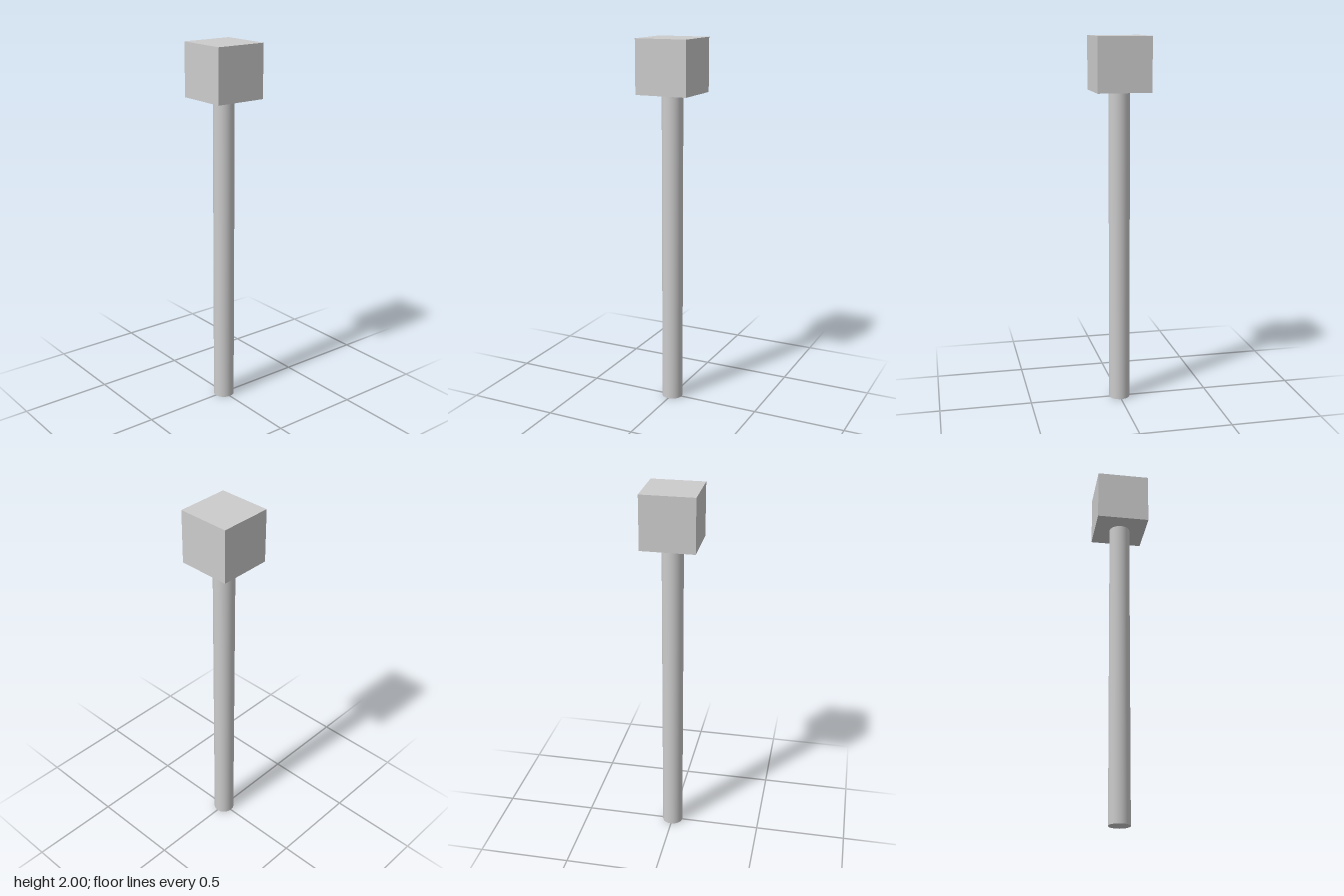
import * as THREE from 'three';

export function createModel() {
  const group = new THREE.Group();
  const material = new THREE.MeshStandardMaterial({ color: 0xcccccc });
  const height = 2, headSize = 0.287, poleRadius = 0.057;
  const poleHeight = height - headSize;

  // Round upright pole, standing on the ground
  const pole = new THREE.Mesh(
    new THREE.CylinderGeometry(poleRadius, poleRadius, poleHeight, 32), material);
  pole.name = 'pole';
  pole.position.y = poleHeight / 2;

  // Cube head resting on the pole
  const head = new THREE.Mesh(
    new THREE.BoxGeometry(headSize, headSize, headSize), material);
  head.name = 'head';
  head.position.y = height - headSize / 2;

  group.add(pole, head);
  return group;
}
